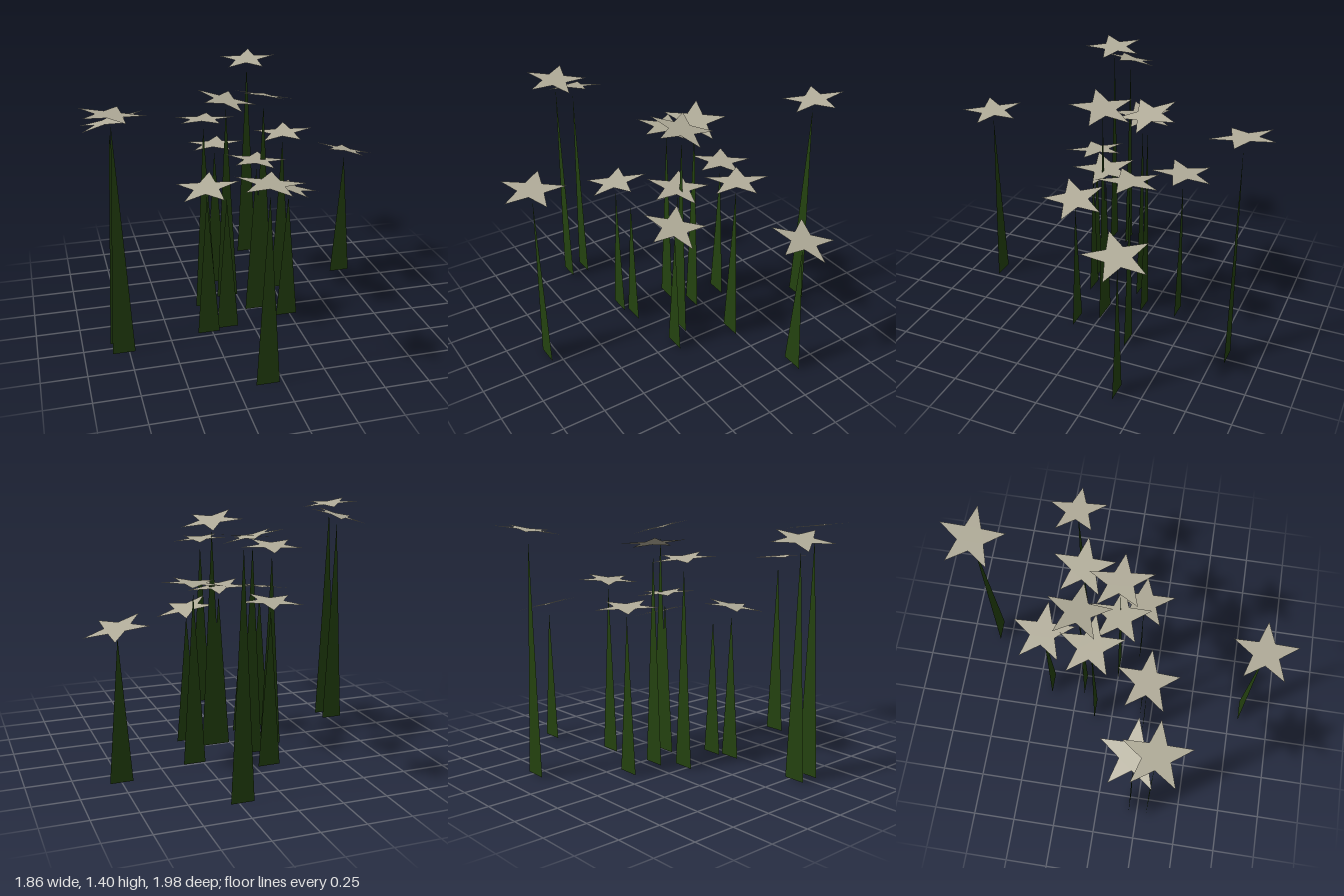
import * as THREE from 'three';

const stemGreen = new THREE.MeshStandardMaterial({ color: 0x24420f, side: THREE.DoubleSide });
stemGreen.name = 'darkStemGreen';
const petalGrey = new THREE.MeshStandardMaterial({ color: 0xb2ad9a, side: THREE.DoubleSide });
petalGrey.name = 'warmPetalGrey';

// Each plant: x, z, stem height, then bloom slope along x and along z (none = bare stem)
const PLANTS = [
  [-0.78, 0.31, 1.33, -0.11, 0.02],
  [-0.78, 0.20, 1.265, 0.24, 0.13],
  [-0.215, -0.11, 1.145, -0.01, 0.10],
  [-0.06, -0.20, 1.22, -0.22, -0.10],
  [-0.085, 0.81, 1.075, -0.075, 0.0],
  [-0.27, 0.21, 0.85, 0.11, -0.11],
  [-0.085, -0.41, 0.89, 0.03, 0.06],
  [0.07, 0.0, 0.91, -0.08, 0.04],
  [0.11, 0.0, 1.29, -0.19, 0.16],
  [0.23, -0.82, 1.31, 0.08, -0.12],
  [0.30, -0.24, 0.985, 0.07, -0.01],
  [0.23, 0.12, 0.77, -0.24, 0.06],
  [0.75, -0.36, 0.80, -0.23, 0.11],
  [-0.15, 0.18, 0.81],
];
const STEM_HALF_WIDTH = 0.064;
const BLOOM_GAP = 0.055;

// Flat tapering blade, standing in the XY plane
function stemGeometry(height) {
  return new THREE.ShapeGeometry(new THREE.Shape([
    new THREE.Vector2(-STEM_HALF_WIDTH, 0),
    new THREE.Vector2(STEM_HALF_WIDTH, 0),
    new THREE.Vector2(0, height),
  ]));
}

// Flat five-pointed star facing up, one tip along +x
function starGeometry(outer, inner) {
  const points = [];
  for (let i = 0; i < 10; i++) {
    const r = i % 2 ? inner : outer;
    const t = (i * Math.PI) / 5;
    points.push(new THREE.Vector2(r * Math.cos(t), r * Math.sin(t)));
  }
  return new THREE.ShapeGeometry(new THREE.Shape(points)).rotateX(-Math.PI / 2);
}

export function createModel() {
  const model = new THREE.Group();
  model.name = 'starFlowerPatch';
  const star = starGeometry(0.187, 0.075);

  for (const [x, z, height, slopeX, slopeZ] of PLANTS) {
    const plant = new THREE.Group();
    plant.name = 'starFlower';
    plant.position.set(x, 0, z);

    const stem = new THREE.Mesh(stemGeometry(height), stemGreen);
    stem.name = 'stem';
    plant.add(stem);

    // Bloom floats just above the stem tip, tilted by its slopes
    if (slopeX !== undefined) {
      const bloom = new THREE.Mesh(star, petalGrey);
      bloom.name = 'bloom';
      const up = new THREE.Vector3(-slopeX, 1, -slopeZ).normalize();
      const along = new THREE.Vector3(1, slopeX, 0).normalize();
      const across = new THREE.Vector3().crossVectors(along, up);
      bloom.quaternion.setFromRotationMatrix(new THREE.Matrix4().makeBasis(along, up, across));
      bloom.position.y = height + BLOOM_GAP;
      plant.add(bloom);
    }
    model.add(plant);
  }
  return model;
}
